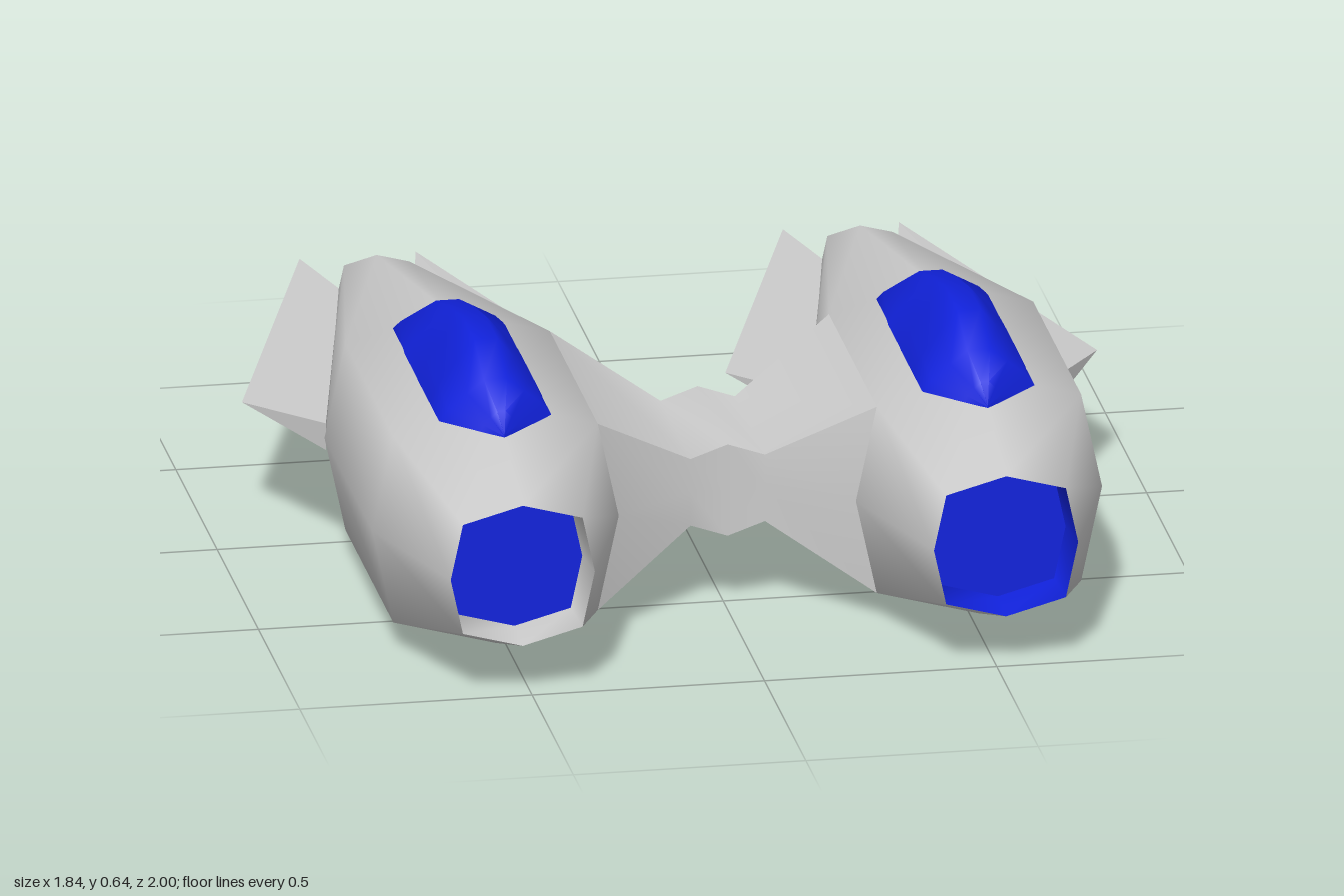
import * as THREE from 'three';
import { toCreasedNormals } from 'three/addons/utils/BufferGeometryUtils.js';
import { ConvexGeometry } from 'three/addons/geometries/ConvexGeometry.js';

const CY = 0.272, HULL_X = 0.52;

// Skins a row of cross-sections, each an array of [x, y, z]
function loft(rings, closed = true, crease = 1.2) {
  const pos = [];
  for (let i = 0; i < rings.length - 1; i++) {
    const n = rings[i].length;
    for (let j = 0; j < (closed ? n : n - 1); j++) {
      const k = (j + 1) % n;
      const a = rings[i][j], b = rings[i][k], c = rings[i + 1][k], d = rings[i + 1][j];
      pos.push(...a, ...b, ...c, ...a, ...c, ...d);
    }
  }
  const g = new THREE.BufferGeometry();
  g.setAttribute('position', new THREE.Float32BufferAttribute(pos, 3));
  return toCreasedNormals(g, crease);
}

// Octagonal hull section, counter-clockwise seen from the front
const OCTAGON = [[0.265, 0], [0.22, 0.21], [0, 0.27], [-0.22, 0.21],
  [-0.265, 0], [-0.22, -0.21], [0, -0.27], [0.22, -0.21]];
const section = (z, s) => OCTAGON.map(([x, y]) => [x * s, CY + y * s, z]);

// Rectangular strut section with a mid line, counter-clockwise seen from +x
function strutSection(x, midX, halfY, z0, z1) {
  return [[x, CY + halfY, z0], [x, CY + halfY, z1], [midX, CY, z1],
    [x, CY - halfY, z1], [x, CY - halfY, z0], [midX, CY, z0]];
}

export function createModel() {
  const group = new THREE.Group();
  const grey = new THREE.MeshStandardMaterial({ color: 0xcccccc });
  const blue = new THREE.MeshStandardMaterial({ color: 0x1122dd });
  const add = (parent, name, geo, mat) => {
    const m = new THREE.Mesh(geo, mat);
    m.name = name;
    parent.add(m);
    return m;
  };

  // Hull shell, intake and exhaust
  const hullGeo = loft([section(-0.77, 0.32), section(0.09, 1), section(0.67, 1), section(1, 0.585)]);
  const wallGeo = loft([section(1, 0.585), section(0.9, 0.55)]);
  const floorGeo = loft([section(0.9, 0.55), section(0.9, 0)]);
  const exhaustGeo = loft([section(-0.77, 0), section(-0.77, 0.32)]);

  // Canopy: z, half width, top height
  const arc = [[1, 0], [0.83, 0.32], [0.5, 0.68], [0.2, 1]];
  const fullArc = [...arc, ...arc.slice().reverse().map(([x, y]) => [-x, y])];
  const canopyGeo = loft([
    [-0.03, 0, 0.52], [0.09, 0.123, 0.567], [0.25, 0.123, 0.61], [0.41, 0.123, 0.645],
    [0.55, 0.123, 0.645], [0.67, 0.123, 0.597], [0.74, 0.045, 0.55], [0.78, 0, 0.51],
  ].map(([z, w, top]) => fullArc.map(([x, y]) => [x * w, 0.505 + (top - 0.505) * y, z])), false);

  // Swept fin with a thick root and sharp tips
  const finGeo = (side) => new ConvexGeometry([
    [0.262, 0.03, 0.09], [0.262, -0.03, 0.09], [0.4, 0, -0.15],
    [0.125, 0, -1], [0.08, 0.012, -0.77], [0.08, -0.012, -0.77],
  ].map(([x, y, z]) => new THREE.Vector3(side * x, CY + 0.003 + y, z)));

  for (const side of [1, -1]) {
    const pod = new THREE.Group();
    pod.name = side > 0 ? 'leftPod' : 'rightPod';
    pod.position.x = side * HULL_X;
    add(pod, 'hull', hullGeo, grey);
    add(pod, 'intakeWall', wallGeo, side > 0 ? blue : grey);
    add(pod, 'intakeFloor', floorGeo, blue);
    add(pod, 'exhaust', exhaustGeo, blue);
    add(pod, 'canopy', canopyGeo, blue);
    add(pod, 'outerFin', finGeo(side), grey);
    add(pod, 'innerFin', finGeo(-side), grey);
    group.add(pod);
  }

  // Strut joining the two hulls, pinched either side of a ridged middle
  add(group, 'connectingStrut', loft([
    strutSection(-0.3, -0.255, 0.21, 0.09, 0.67),
    strutSection(-0.08, -0.08, 0.075, 0.19, 0.555),
    strutSection(0, 0, 0.103, 0.19, 0.555),
    strutSection(0.08, 0.08, 0.075, 0.19, 0.555),
    strutSection(0.3, 0.255, 0.21, 0.09, 0.67),
  ], true, 0.9), grey);

  return group;
}
